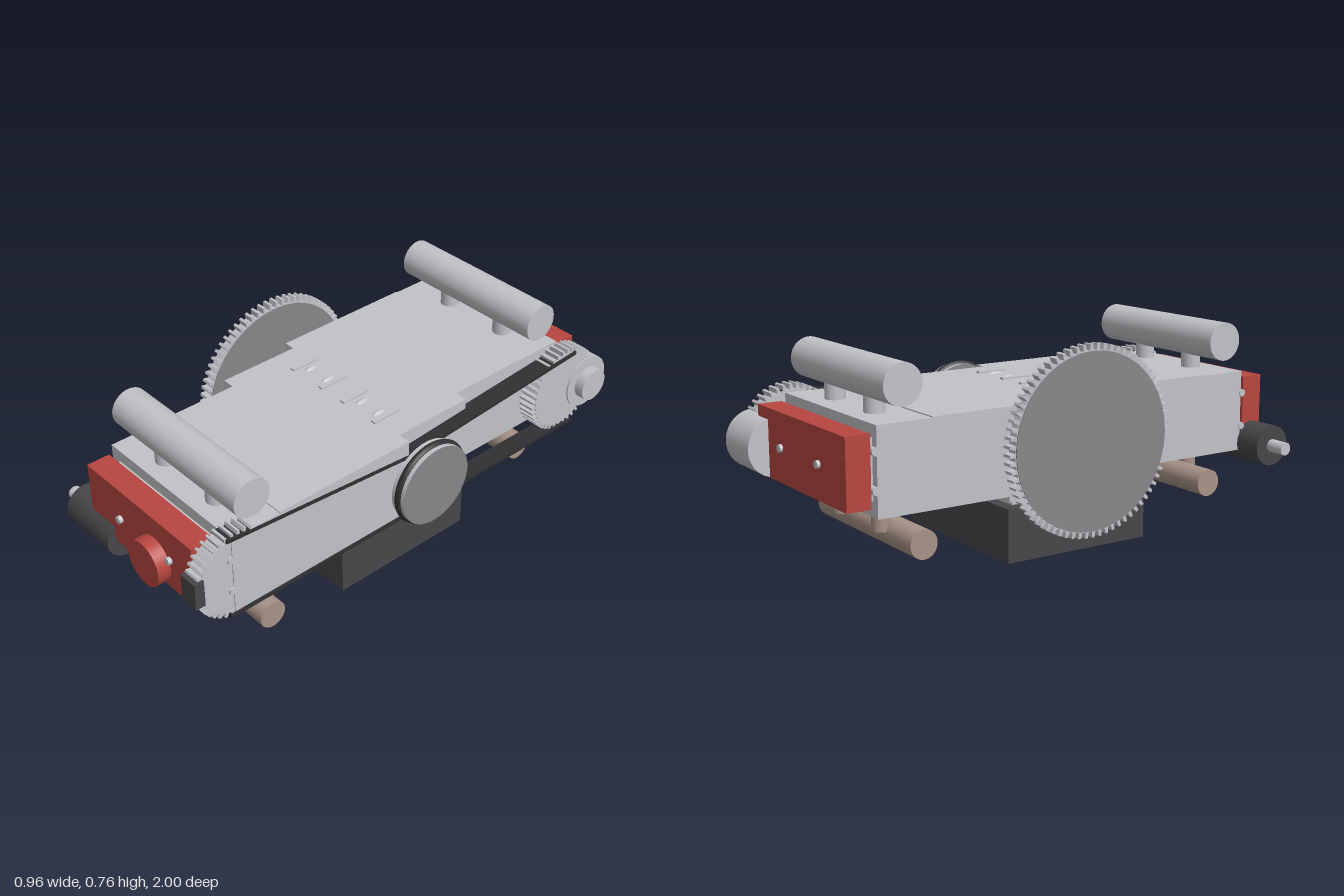
import * as THREE from 'three';

const mat = (name, color, side = THREE.FrontSide) => {
  const m = new THREE.MeshStandardMaterial({ color, side });
  m.name = name;
  return m;
};

export function createModel() {
  const metal = mat('light metal', 0xc2c3c7);
  const steel = mat('grey steel', 0x868789);
  const red = mat('red cover', 0xb84640);
  const dark = mat('dark casing', 0x474649);
  const rubber = mat('black rubber', 0x303032);
  const tan = mat('exhaust metal', 0xa79287);

  const model = new THREE.Group();
  model.name = 'flatEngine';

  const add = (name, geo, material, x = 0, y = 0, z = 0) => {
    const m = new THREE.Mesh(geo, material);
    m.name = name;
    m.position.set(x, y, z);
    model.add(m);
    return m;
  };
  // box given by its limits on each axis
  const box = (name, material, [x0, x1], [y0, y1], [z0, z1]) =>
    add(name, new THREE.BoxGeometry(x1 - x0, y1 - y0, z1 - z0), material,
      (x0 + x1) / 2, (y0 + y1) / 2, (z0 + z1) / 2);
  // cylinders lying along each axis
  const rodX = (name, material, x0, x1, y, z, r) =>
    add(name, new THREE.CylinderGeometry(r, r, x1 - x0, 40).rotateZ(-Math.PI / 2), material, (x0 + x1) / 2, y, z);
  const rodY = (name, material, x, y0, y1, z, r) =>
    add(name, new THREE.CylinderGeometry(r, r, y1 - y0, 28), material, x, (y0 + y1) / 2, z);
  const rodZ = (name, material, x, y, z0, z1, r) =>
    add(name, new THREE.CylinderGeometry(r, r, z1 - z0, 40).rotateX(Math.PI / 2), material, x, y, (z0 + z1) / 2);
  // toothed wheel on the x axis
  const gear = (name, x0, x1, y, z, root, tip, teeth) => {
    const s = new THREE.Shape();
    for (let i = 0; i < teeth; i++) {
      [[0, root], [0.45, root], [0.56, tip], [0.89, tip]].forEach(([f, r], k) => {
        const a = ((i + f) / teeth) * Math.PI * 2;
        const px = Math.cos(a) * r, py = Math.sin(a) * r;
        if (i + k === 0) s.moveTo(px, py); else s.lineTo(px, py);
      });
    }
    const g = new THREE.ExtrudeGeometry(s, { depth: x1 - x0, bevelEnabled: false });
    return add(name, g.rotateY(Math.PI / 2), metal, x0, y, z);
  };

  // crankcase, the two offset cylinder banks and their heads
  box('crankcase', metal, [-0.345, 0.33], [0.22, 0.57], [-0.27, 0.31]);
  box('frontBank', metal, [-0.295, 0.38], [0.255, 0.57], [0.06, 0.64]);
  box('rearBank', metal, [-0.39, 0.28], [0.255, 0.57], [-0.6, -0.02]);
  box('frontHead', metal, [-0.295, 0.38], [0.255, 0.566], [0.64, 0.84]);
  box('rearHead', metal, [-0.39, 0.28], [0.255, 0.566], [-0.81, -0.6]);
  box('panFlange', metal, [-0.3, 0.33], [0.195, 0.22], [-0.23, 0.28]);
  box('oilPan', dark, [-0.345, 0.33], [0, 0.195], [-0.275, 0.325]);

  // crank webs showing through the top
  for (const x of [-0.23, -0.07, 0.05, 0.215])
    box('crankWeb', metal, [x - 0.01, x + 0.01], [0.55, 0.577], [-0.04, 0.08]);
  for (const x of [-0.195, -0.1, 0.09, 0.18]) {
    const lobe = add('crankLobe', new THREE.SphereGeometry(1, 20, 12), metal, x, 0.562, 0.017);
    lobe.scale.set(0.014, 0.016, 0.035);
  }

  // per bank: manifolds, runners, cam rods, cover bolts
  const banks = [
    { side: 'front', x: [-0.295, 0.38], pipes: [-0.1, 0.183], inZ: 0.75, exZ: 0.685, runZ: 0.745, camZ: 0.845, bolt: [0.94, 0.965] },
    { side: 'rear', x: [-0.39, 0.28], pipes: [-0.195, 0.088], inZ: -0.71, exZ: -0.64, runZ: -0.695, camZ: -0.815, bolt: [-0.932, -0.91] },
  ];
  for (const b of banks) {
    rodX(b.side + 'IntakeManifold', metal, ...b.x, 0.687, b.inZ, 0.073);
    rodX(b.side + 'ExhaustManifold', tan, ...b.x, 0.143, b.exZ, 0.052);
    for (const x of b.pipes) {
      rodY(b.side + 'IntakeRunner', metal, x, 0.55, 0.66, b.inZ, 0.037);
      rodY(b.side + 'ExhaustRunner', tan, x, 0.155, 0.27, b.runZ, 0.032);
      rodZ(b.side + 'CoverBolt', metal, x, 0.415, ...b.bolt, 0.014);
    }
    for (const y of [0.35, 0.48])
      rodX(b.side + 'CamRod', metal, b.x[0] - 0.004, b.x[1] + 0.004, y, b.camZ, 0.014);
  }

  // red valve covers and filler cap
  box('frontValveCover', red, [-0.285, 0.31], [0.29, 0.54], [0.86, 0.95]);
  box('frontCoverSeat', metal, [-0.25, 0.3], [0.31, 0.52], [0.83, 0.865]);
  box('rearValveCover', red, [-0.385, 0.27], [0.29, 0.54], [-0.92, -0.83]);
  box('rearCoverSeat', metal, [-0.36, 0.25], [0.31, 0.52], [-0.835, -0.8]);
  rodZ('fillerCap', red, 0.095, 0.37, 0.94, 1.0, 0.087);

  // starter motor
  rodX('starterMotor', dark, -0.405, -0.15, 0.283, 0.908, 0.078);
  rodX('starterShaft', metal, -0.48, -0.4, 0.283, 0.908, 0.025);

  // timing gears, sensor block and rear drive unit
  gear('frontTimingGear', 0.31, 0.376, 0.41, 0.815, 0.157, 0.175, 40);
  gear('rearTimingGear', 0.31, 0.376, 0.415, -0.765, 0.157, 0.175, 40);
  rodX('rearCamShaft', metal, 0.27, 0.32, 0.415, -0.765, 0.05);
  box('camSensor', dark, [0.31, 0.385], [0.36, 0.465], [0.96, 0.998]);
  rodX('rearDriveUnit', metal, 0.19, 0.382, 0.395, -0.892, 0.107);
  rodX('rearDriveCap', metal, 0.38, 0.42, 0.395, -0.892, 0.065);

  // timing belt strands, given by end points in z and y
  const strand = (z0, y0, z1, y1) => {
    const m = add('timingBelt', new THREE.BoxGeometry(0.073, 0.013, Math.hypot(z1 - z0, y1 - y0)), rubber,
      0.3475, (y0 + y1) / 2, (z0 + z1) / 2);
    m.rotation.x = -Math.atan2(y1 - y0, z1 - z0);
  };
  strand(0.02, 0.502, 0.86, 0.567);
  strand(-0.81, 0.562, 0.02, 0.502);
  strand(-0.82, 0.245, 0.86, 0.245);

  // crank pulley with its drive belt
  rodX('pulleyHub', metal, 0.33, 0.425, 0.415, 0.02, 0.085);
  rodX('crankPulley', [metal, steel, steel], 0.42, 0.48, 0.415, 0.02, 0.156);
  add('pulleyBelt', new THREE.TorusGeometry(0.151, 0.015, 14, 56).rotateY(Math.PI / 2), rubber, 0.45, 0.415, 0.02);

  // flywheel with ring gear
  rodX('flywheelShaft', metal, -0.4, -0.34, 0.415, 0.025, 0.054);
  gear('flywheelRing', -0.437, -0.398, 0.415, 0.017, 0.325, 0.347, 72);
  rodX('flywheelDisc', steel, -0.441, -0.394, 0.415, 0.017, 0.323);

  return model;
}
